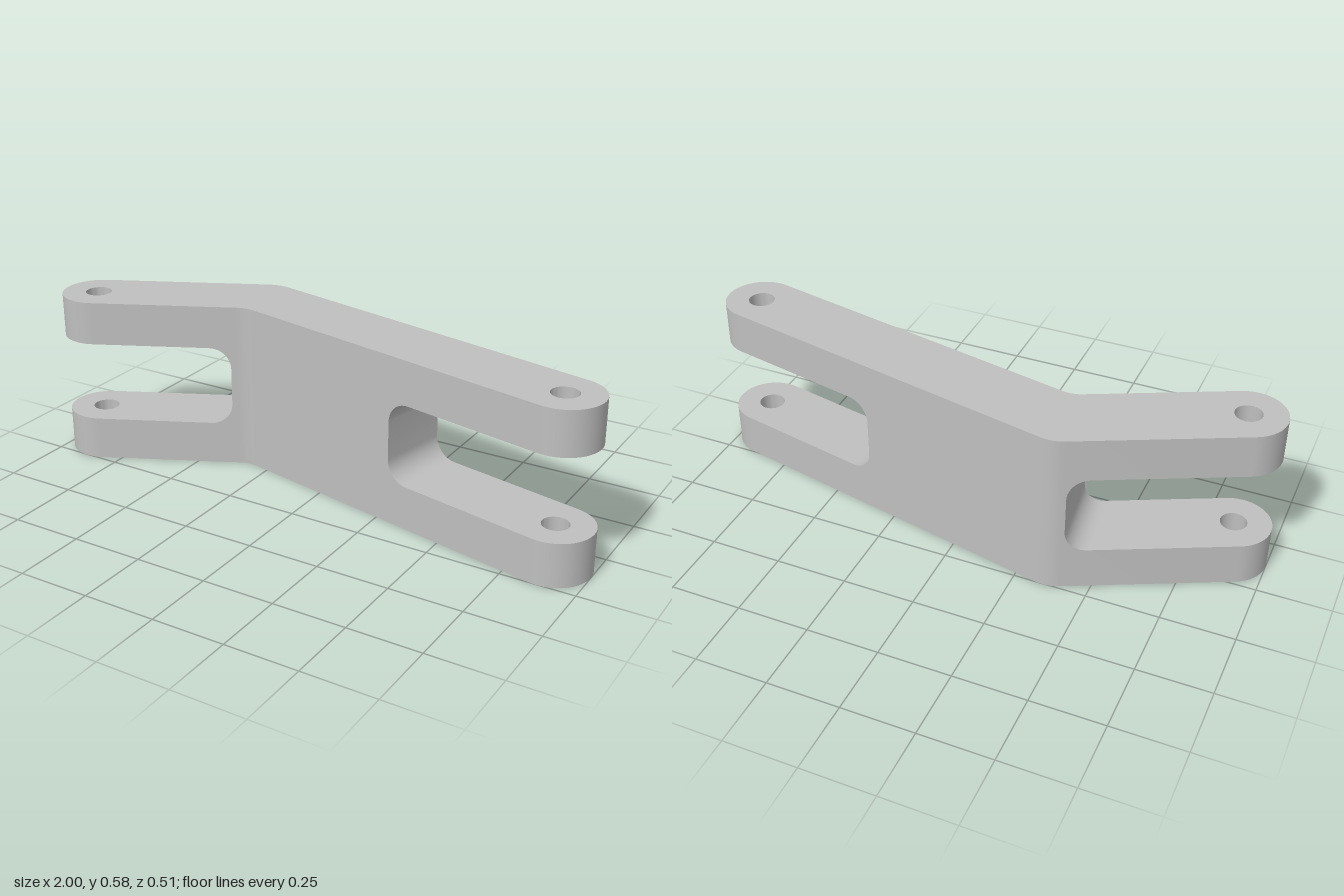
import * as THREE from 'three';
import { toCreasedNormals } from 'three/addons/utils/BufferGeometryUtils.js';

// Plan is drawn in (x, -z); the arms meet at BEND and end at the two pin holes.
const V = (x, y) => new THREE.Vector2(x, y);
const R = 0.126, HOLE_R = 0.045, INNER_R = 0.1;
const HEIGHT = 0.585, SLOT_LOW = 0.151, SLOT_HIGH = 0.434, FILLET = 0.075;
const BEND = V(-0.35, 0.127), LEFT = V(-0.874, -0.127), RIGHT = V(0.874, -0.127);

const dirR = RIGHT.clone().sub(BEND).normalize();
const dirL = LEFT.clone().sub(BEND).normalize();
const normR = V(-dirR.y, dirR.x);
const normL = V(dirL.y, -dirL.x);
const angR = normR.angle(), angL = normL.angle();

function arc(c, r, from, to, n) {
  return Array.from({ length: n + 1 }, (_, i) => {
    const a = from + (to - from) * i / n;
    return V(c.x + r * Math.cos(a), c.y + r * Math.sin(a));
  });
}

// Rounded outside and inside of the bend
const mid = (angR + angL) / 2;
const reach = (R + INNER_R) / Math.cos((angL - angR) / 2);
const innerCentre = V(BEND.x - reach * Math.cos(mid), BEND.y - reach * Math.sin(mid));
const outerBend = arc(BEND, R, angR, angL, 12);
const innerBend = arc(innerCentre, INNER_R, angL, angR, 12);

// Full-length plate with rounded ends and pin holes
function plate(y0, y1) {
  const shape = new THREE.Shape([
    ...arc(RIGHT, R, angR - Math.PI, angR, 32),
    ...outerBend,
    ...arc(LEFT, R, angL, angL + Math.PI, 32),
    ...innerBend,
  ]);
  for (const c of [LEFT, RIGHT]) {
    shape.holes.push(new THREE.Path(arc(c, HOLE_R, 0, -Math.PI * 2, 32).slice(0, -1)));
  }
  const g = new THREE.ExtrudeGeometry(shape, { depth: y1 - y0, bevelEnabled: false });
  g.rotateX(-Math.PI / 2).translate(0, y0, 0);
  return toCreasedNormals(g, 0.6);
}

// Point on an arm's edge: side is +1 at the back, -1 at the front
const edge = (dir, norm, side, t) =>
  BEND.clone().addScaledVector(norm, side * R).addScaledVector(dir, t);

// Solid web between the plates, its ends flaring into them with fillets
function web() {
  const levels = [];
  const steps = 10;
  for (let i = 0; i <= steps; i++) {
    const a = (i / steps) * Math.PI / 2;
    levels.push([SLOT_LOW + FILLET * (1 - Math.cos(a)), FILLET * (1 - Math.sin(a))]);
  }
  for (let i = steps; i >= 0; i--) {
    levels.push([SLOT_LOW + SLOT_HIGH - levels[i][0], levels[i][1]]);
  }
  const rings = levels.map(([y, d]) => [
    edge(dirR, normR, -1, 0.685 + d),
    edge(dirR, normR, 1, 0.685 + d),
    ...outerBend,
    edge(dirL, normL, 1, 0.01 + d),
    edge(dirL, normL, -1, 0.1 + d),
    ...innerBend,
  ].map((p) => [p.x, y, -p.y]));
  const pos = [];
  for (let i = 0; i < rings.length - 1; i++) {
    const lo = rings[i], hi = rings[i + 1];
    for (let j = 0; j < lo.length; j++) {
      const k = (j + 1) % lo.length;
      pos.push(...lo[j], ...lo[k], ...hi[k], ...lo[j], ...hi[k], ...hi[j]);
    }
  }
  const g = new THREE.BufferGeometry();
  g.setAttribute('position', new THREE.Float32BufferAttribute(pos, 3));
  return toCreasedNormals(g, 0.6);
}

export function createModel() {
  const grey = new THREE.MeshStandardMaterial({ color: 0xbfbfbf });
  grey.name = 'plain grey';
  const group = new THREE.Group();
  group.name = 'bentForkedLink';
  const add = (name, geometry) => {
    const mesh = new THREE.Mesh(geometry, grey);
    mesh.name = name;
    group.add(mesh);
  };
  add('lowerPlate', plate(0, SLOT_LOW));
  add('upperPlate', plate(SLOT_HIGH, HEIGHT));
  add('centreWeb', web());
  return group;
}
